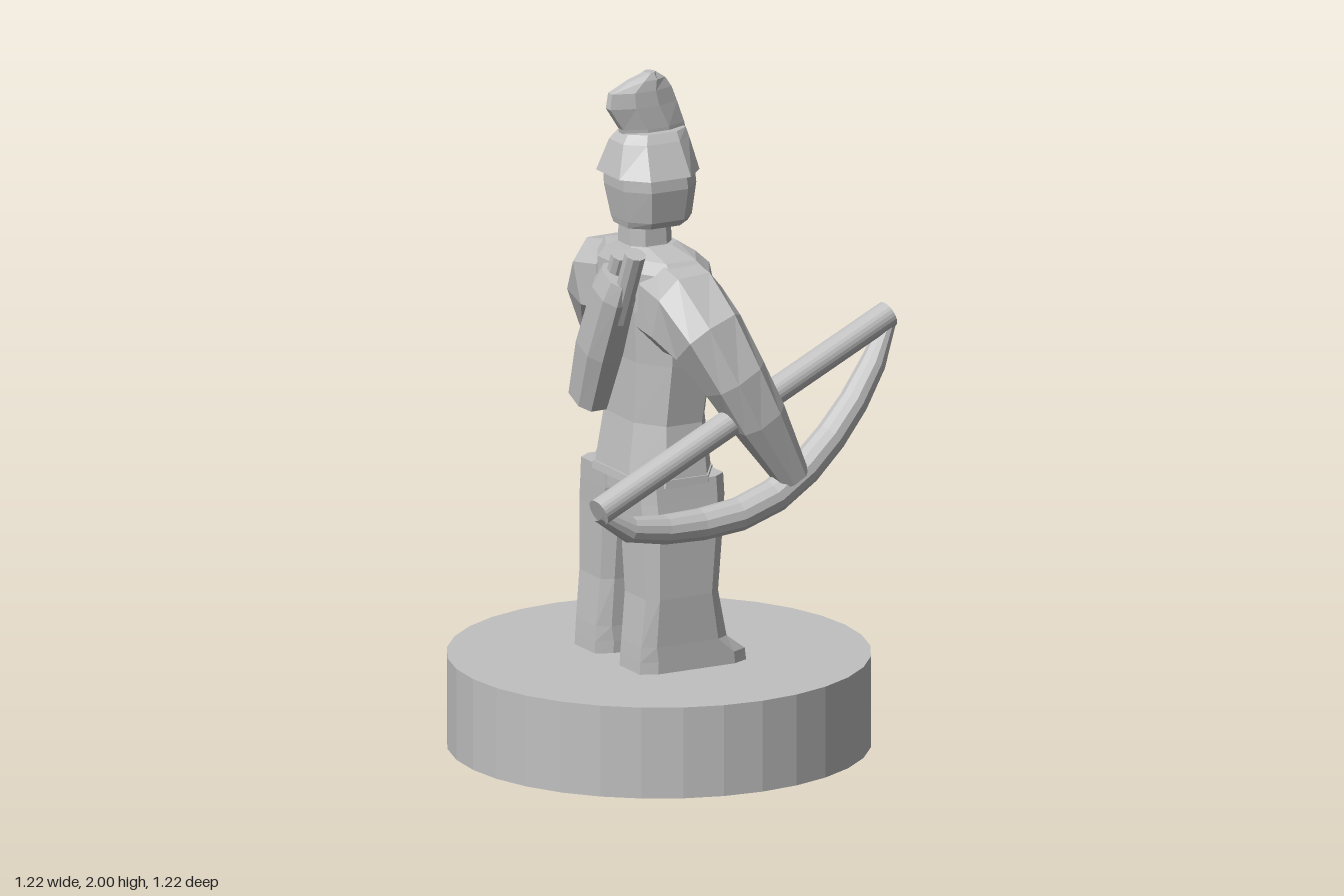
import * as THREE from 'three';

const stone = new THREE.MeshStandardMaterial({ color: 0xc0c0c0, flatShading: true });
stone.name = 'plain grey';

const V = (x, y, z) => new THREE.Vector3(x, y, z);
const UP = V(0, 1, 0);

// Lofts chamfered eight-sided sections; each is { c: centre, a: half size near x, b: other half size }.
function loft(sections, k = 0.5, axis = null) {
  const outline = [[1, -k], [1, k], [k, 1], [-k, 1], [-1, k], [-1, -k], [-k, -1], [k, -1]];
  const n = outline.length;
  const last = sections.length - 1;
  const positions = [];
  const index = [];
  sections.forEach(({ c, a, b }, i) => {
    const t = axis ? axis.clone()
      : sections[Math.min(i + 1, last)].c.clone().sub(sections[Math.max(i - 1, 0)].c).normalize();
    const u = V(1, 0, 0).addScaledVector(t, -t.x).normalize();
    const v = t.clone().cross(u);
    for (const [p, q] of outline) {
      const s = c.clone().addScaledVector(u, p * a).addScaledVector(v, q * b);
      positions.push(s.x, s.y, s.z);
    }
  });
  for (let i = 0; i < last; i++) {
    for (let j = 0; j < n; j++) {
      const p = i * n + j, q = i * n + (j + 1) % n;
      index.push(p, q, q + n, p, q + n, p + n);
    }
  }
  for (let j = 1; j < n - 1; j++) {
    index.push(0, j + 1, j);
    index.push(last * n, last * n + j, last * n + j + 1);
  }
  const g = new THREE.BufferGeometry();
  g.setAttribute('position', new THREE.Float32BufferAttribute(positions, 3));
  g.setIndex(index);
  const flat = g.toNonIndexed();
  flat.computeVertexNormals();
  return flat;
}

// Upright section from its height, x range and z range.
const level = (y, x0, x1, z0, z1) =>
  ({ c: V((x0 + x1) / 2, y, (z0 + z1) / 2), a: (x1 - x0) / 2, b: Math.abs(z1 - z0) / 2 });
const sym = (y, x0, x1, z) => level(y, x0, x1, -z, z);
// Limb section from its centre and half sizes.
const limb = (x, y, z, a, b) => ({ c: V(x, y, z), a, b });

export function createModel() {
  const model = new THREE.Group();
  model.name = 'archerFigure';
  const add = (name, geometry) => {
    const mesh = new THREE.Mesh(geometry, stone);
    mesh.name = name;
    model.add(mesh);
    return mesh;
  };
  // Straight round bar between two points.
  const rod = (name, p, q, r, sides) => {
    const mesh = add(name, new THREE.CylinderGeometry(r, r, p.distanceTo(q), sides));
    mesh.position.copy(p).add(q).multiplyScalar(0.5);
    mesh.quaternion.setFromUnitVectors(UP, q.clone().sub(p).normalize());
  };

  // Round plinth
  add('base', new THREE.CylinderGeometry(0.61, 0.61, 0.27, 32).translate(0, 0.135, 0));

  // Legs with short feet pointing along +x
  for (const [name, s] of [['leftLeg', 1], ['rightLeg', -1]]) {
    add(name, loft([
      level(0.265, -0.17, 0.18, s * 0.05, s * 0.215),
      level(0.305, -0.168, 0.175, s * 0.05, s * 0.215),
      level(0.35, -0.165, 0.115, s * 0.052, s * 0.215),
      level(0.49, -0.152, 0.085, s * 0.048, s * 0.22),
      level(0.7, -0.155, 0.105, s * 0.025, s * 0.218),
      level(0.77, -0.158, 0.115, s * 0.004, s * 0.208),
      level(0.83, -0.16, 0.115, 0, s * 0.2),
    ], 0.72, UP));
  }

  // Tunic and belt hem
  add('torso', loft([
    sym(0.78, -0.155, 0.11, 0.18),
    sym(0.83, -0.155, 0.115, 0.2),
    sym(0.99, -0.132, 0.1, 0.178),
    sym(1.17, -0.13, 0.12, 0.2),
    sym(1.32, -0.14, 0.132, 0.215),
    sym(1.44, -0.14, 0.105, 0.22),
    sym(1.475, -0.125, 0.07, 0.18),
    sym(1.5, -0.115, 0.035, 0.08),
  ], 0.5, UP));
  add('belt', loft([
    sym(0.815, -0.163, 0.12, 0.206), sym(0.838, -0.16, 0.118, 0.204),
  ], 0.5, UP));

  // Bent arms with hands forward
  add('leftArm', loft([
    limb(-0.03, 1.345, 0.12, 0.105, 0.13),
    limb(-0.03, 1.335, 0.22, 0.11, 0.125),
    limb(-0.01, 1.28, 0.31, 0.1, 0.105),
    limb(0.05, 1.16, 0.36, 0.085, 0.09),
    limb(0.115, 1.04, 0.38, 0.075, 0.075),
    limb(0.225, 0.85, 0.385, 0.045, 0.045),
  ]));
  add('rightArm', loft([
    limb(-0.03, 1.345, -0.12, 0.105, 0.13),
    limb(-0.03, 1.335, -0.22, 0.11, 0.125),
    limb(0.0, 1.27, -0.31, 0.1, 0.105),
    limb(0.05, 1.15, -0.35, 0.085, 0.088),
    limb(0.11, 1.03, -0.345, 0.075, 0.08),
    limb(0.225, 0.855, -0.302, 0.045, 0.057),
  ]));

  // Neck, head, cap and crest
  add('neck', loft([
    sym(1.47, -0.115, 0.025, 0.068), sym(1.57, -0.115, 0.02, 0.065),
  ], 0.5, UP));
  add('head', loft([
    sym(1.555, -0.125, 0.07, 0.085),
    sym(1.575, -0.13, 0.08, 0.1),
    sym(1.67, -0.148, 0.09, 0.118),
    sym(1.715, -0.15, 0.085, 0.115),
  ], 0.5, UP));
  add('cap', loft([
    sym(1.71, -0.168, 0.095, 0.137),
    sym(1.805, -0.14, 0.075, 0.085),
    sym(1.83, -0.12, 0.07, 0.065),
  ], 0.5, UP));
  add('crest', loft([
    sym(1.815, -0.12, 0.08, 0.042),
    sym(1.84, -0.125, 0.075, 0.042),
    sym(1.905, -0.167, 0.052, 0.038),
    sym(1.95, -0.16, 0.035, 0.034),
    sym(1.98, -0.1, 0.015, 0.028),
    sym(2.0, -0.045, -0.015, 0.018),
  ], 0.35, UP));

  // Bow limb and thick straight string
  rod('bowString', V(-0.428, 0.84, 0.415), V(0.59, 1.265, 0.29), 0.04, 24);
  const bow = new THREE.CatmullRomCurve3([
    V(-0.425, 0.835, 0.41), V(-0.33, 0.775, 0.4), V(-0.12, 0.748, 0.378),
    V(0.08, 0.77, 0.38), V(0.21, 0.825, 0.375), V(0.36, 0.935, 0.35),
    V(0.5, 1.09, 0.32), V(0.588, 1.24, 0.293),
  ]);
  const bowSections = [];
  for (let i = 0; i <= 10; i++) {
    const r = 0.024 + 0.026 * Math.sqrt(Math.sin(Math.PI * i / 10));
    bowSections.push({ p: bow.getPoint(i / 10), r });
  }
  const tube = new THREE.TubeGeometry(bow, 10, 1, 12);
  const pos = tube.attributes.position;
  // Taper the tube towards both tips
  for (let i = 0; i < pos.count; i++) {
    const ring = Math.floor(i / 13);
    const centre = bow.getPointAt(ring / 10);
    const p = V().fromBufferAttribute(pos, i).sub(centre)
      .multiplyScalar(bowSections[ring].r).add(centre);
    pos.setXYZ(i, p.x, p.y, p.z);
  }
  tube.computeVertexNormals();
  add('bowLimb', tube);

  // Quiver slung on the back with two shafts
  add('quiver', loft([
    limb(-0.18, 1.03, -0.09, 0.05, 0.065),
    limb(-0.185, 1.2, -0.015, 0.06, 0.075),
    limb(-0.183, 1.38, 0.065, 0.055, 0.072),
    limb(-0.18, 1.435, 0.09, 0.042, 0.06),
  ], 0.5));
  rod('arrowA', V(-0.178, 1.3, 0.08), V(-0.172, 1.515, 0.17), 0.032, 10);
  rod('arrowB', V(-0.178, 1.3, 0.005), V(-0.174, 1.495, 0.09), 0.03, 10);

  return model;
}
